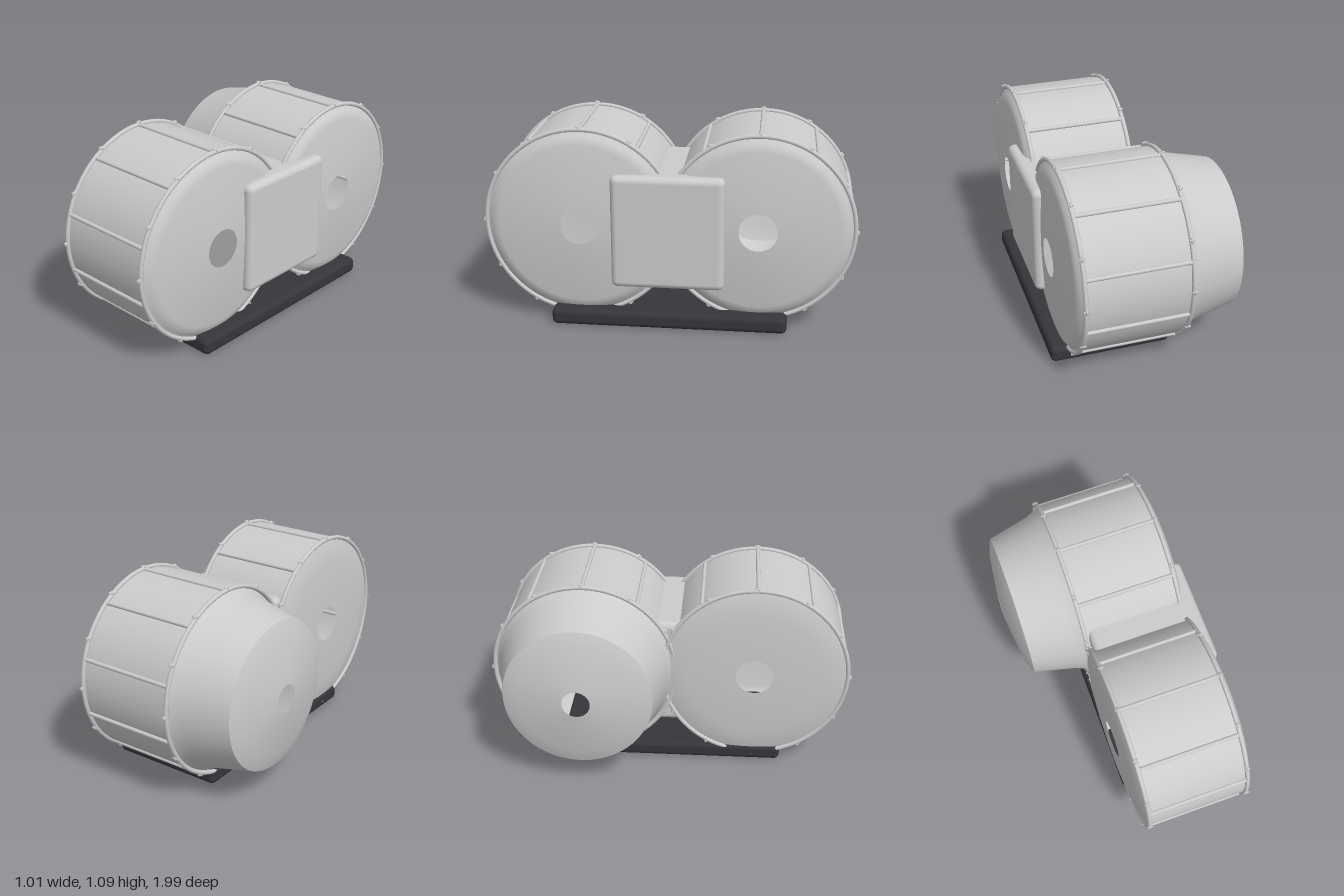
import * as THREE from 'three';
import { RoundedBoxGeometry } from 'three/addons/geometries/RoundedBoxGeometry.js';
import { toCreasedNormals } from 'three/addons/utils/BufferGeometryUtils.js';

const grey = new THREE.MeshStandardMaterial({ color: 0xcccccc, side: THREE.DoubleSide });
const dark = new THREE.MeshStandardMaterial({ color: 0x34363b });

function addMesh(parent, name, geometry, material = grey) {
  const mesh = new THREE.Mesh(geometry, material);
  mesh.name = name;
  parent.add(mesh);
  return mesh;
}

// Surface of revolution about the x axis from [x, radius] pairs
function turned(profile) {
  const points = profile.map(([x, r]) => new THREE.Vector2(r, x));
  const geometry = new THREE.LatheGeometry(points, 72).rotateZ(-Math.PI / 2);
  return toCreasedNormals(geometry, 0.45);
}

function roundedBox(x0, x1, y0, y1, z0, z1, radius) {
  return new RoundedBoxGeometry(x1 - x0, y1 - y0, z1 - z0, 4, radius)
    .translate((x0 + x1) / 2, (y0 + y1) / 2, (z0 + z1) / 2);
}

const LEFT_RING = 0.41;
const RIGHT_RING = -0.14;

// Hollow reel drum lying along x, with rings, ribs and rivets
function makeDrum(name, radius, rightCap) {
  const drum = new THREE.Group();
  drum.name = name;

  addMesh(drum, 'drumShell', turned([[RIGHT_RING, radius - 0.005], [LEFT_RING, radius - 0.005]]));

  // End caps, each with an open centre hole
  addMesh(drum, 'leftCap', turned([
    [0.41, radius - 0.008], [0.425, radius - 0.03], [0.437, radius - 0.045],
    [0.445, radius - 0.075], [0.466, 0.102],
  ]));
  addMesh(drum, 'rightCap', turned(rightCap));

  // Rim rings with twelve rivets each
  const rivet = new THREE.SphereGeometry(0.015, 12, 8).scale(0.5, 1, 1.2);
  const pin = new THREE.CylinderGeometry(0.005, 0.005, 0.03, 8).rotateZ(Math.PI / 2);
  for (const x of [RIGHT_RING, LEFT_RING]) {
    const ring = new THREE.TorusGeometry(radius, 0.012, 10, 72).rotateY(Math.PI / 2);
    addMesh(drum, 'rimRing', ring).position.x = x;
    for (let i = 0; i < 12; i++) {
      const a = (i / 12) * Math.PI * 2;
      const y = Math.sin(a) * (radius + 0.006), z = Math.cos(a) * (radius + 0.006);
      const head = addMesh(drum, 'rivet', rivet);
      head.position.set(x, y, z);
      head.rotation.x = Math.PI / 2 - a;
      addMesh(drum, 'rivetPin', pin).position.set(x, y * 1.01, z * 1.01);
    }
  }

  // Ten ribs along the shell
  const rib = new THREE.CylinderGeometry(0.011, 0.011, LEFT_RING - RIGHT_RING, 12).rotateZ(Math.PI / 2);
  for (let i = 0; i < 10; i++) {
    const a = Math.PI / 2 + (i / 10) * Math.PI * 2;
    addMesh(drum, 'rib', rib).position.set(
      (LEFT_RING + RIGHT_RING) / 2, Math.sin(a) * (radius - 0.002), Math.cos(a) * (radius - 0.002));
  }
  return drum;
}

export function createModel() {
  const model = new THREE.Group();
  model.name = 'twinDrumUnit';

  // Front drum with a shallow cap on its right side
  const front = makeDrum('frontDrum', 0.51, [
    [-0.14, 0.5], [-0.152, 0.46], [-0.166, 0.37], [-0.168, 0.102],
  ]);
  front.position.set(0, 0.562, 0.467);

  // Back drum with a deep housing on its right side
  const back = makeDrum('backDrum', 0.503, [
    [-0.135, 0.49], [-0.15, 0.48], [-0.175, 0.47], [-0.21, 0.455],
    [-0.445, 0.4], [-0.475, 0.32], [-0.506, 0.075],
  ]);
  back.position.set(0, 0.56, -0.472);
  model.add(front, back);

  // Block joining the two drums, standing proud on the left side
  addMesh(model, 'joiningBlock', roundedBox(-0.12, 0.498, 0.23, 0.85, -0.3, 0.3, 0.035));

  // Base plate
  addMesh(model, 'basePlate', roundedBox(-0.155, 0.505, 0, 0.092, -0.637, 0.628, 0.03), dark);

  return model;
}
